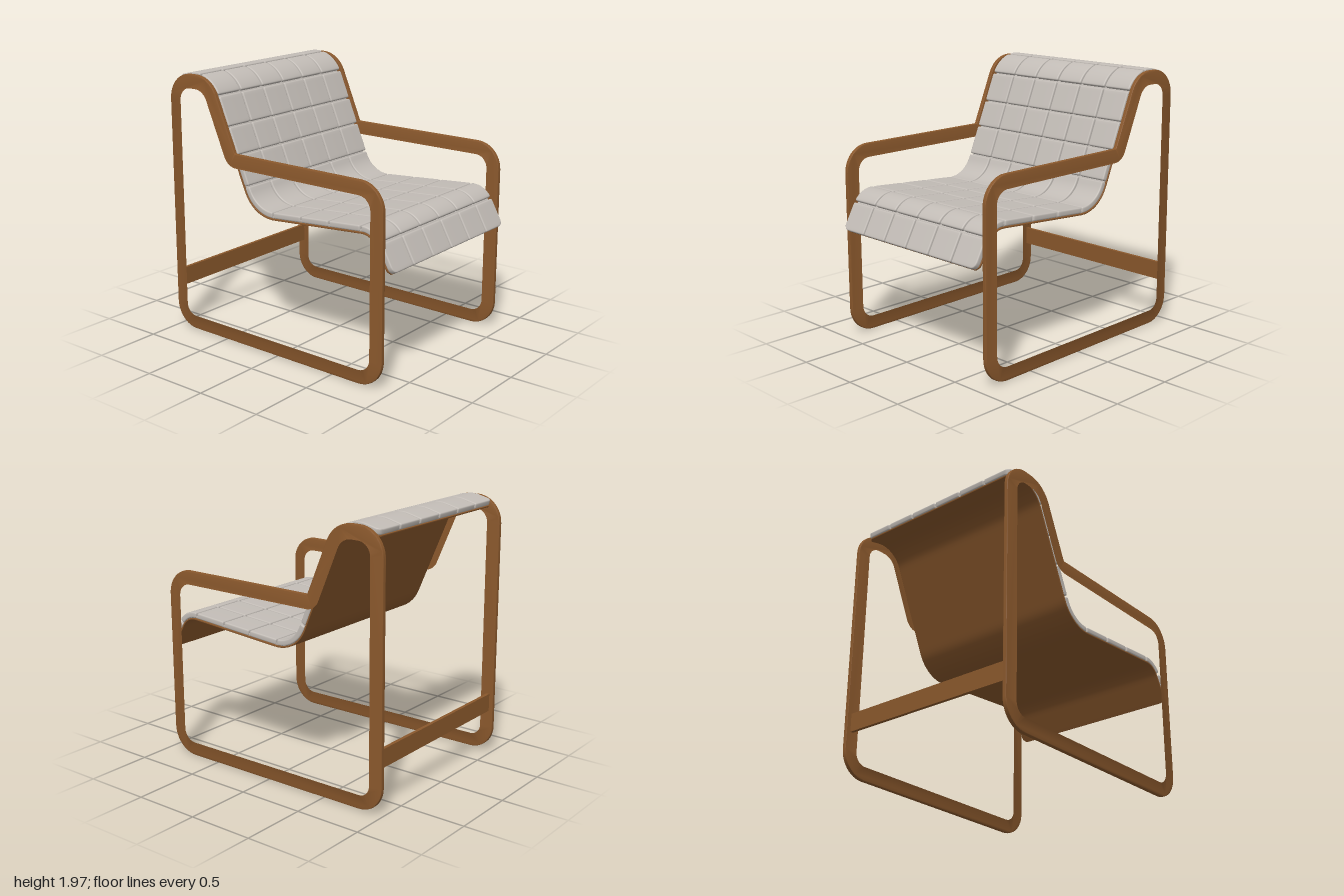
import * as THREE from 'three';
import { mergeVertices, toCreasedNormals } from 'three/addons/utils/BufferGeometryUtils.js';

const wood = new THREE.MeshStandardMaterial({ color: 0x8a582c });
wood.name = 'wood';
const fabric = new THREE.MeshStandardMaterial({ color: 0xc2bcb6 });
fabric.name = 'fabric';

// Polyline of [z, y, radius] corners with rounded bends -> samples { p, n }, n to the right of travel
function roundedPath(corners, closed) {
  const pts = corners.map(([z, y]) => new THREE.Vector2(z, y));
  const count = pts.length, out = [];
  const right = (d) => new THREE.Vector2(d.y, -d.x);
  pts.forEach((c, i) => {
    const d0 = c.clone().sub(pts[(i + count - 1) % count]).normalize();
    const d1 = pts[(i + 1) % count].clone().sub(c).normalize();
    if (!closed && i === 0) return out.push({ p: c, n: right(d1) });
    if (!closed && i === count - 1) return out.push({ p: c, n: right(d0) });
    const r = corners[i][2], turn = Math.atan2(d0.cross(d1), d0.dot(d1)), sign = Math.sign(turn);
    const start = c.clone().addScaledVector(d0, -r * Math.tan(Math.abs(turn) / 2));
    const centre = start.clone().addScaledVector(right(d0), -r * sign);
    for (let k = 0; k <= 12; k++) {
      const n = right(d0).rotateAround(new THREE.Vector2(), turn * k / 12);
      out.push({ p: centre.clone().addScaledVector(n, r * sign), n });
    }
  });
  return out;
}

// Seat line from the front lip to the top of the back
const seatPath = roundedPath([
  [0.945, 0.817], [0.805, 1.07, 0.13], [-0.24, 0.995, 0.27], [-0.648, 1.958, 0.2], [-0.918, 1.892],
], false);
const lengths = [0];
for (let i = 1; i < seatPath.length; i++) {
  lengths.push(lengths[i - 1] + seatPath[i].p.distanceTo(seatPath[i - 1].p));
}
const total = lengths[lengths.length - 1];

function seatAt(s) {
  let i = 1;
  while (i < lengths.length - 1 && lengths[i] < s) i++;
  const t = (s - lengths[i - 1]) / (lengths[i] - lengths[i - 1]), a = seatPath[i - 1], b = seatPath[i];
  return { p: a.p.clone().lerp(b.p, t), n: a.n.clone().lerp(b.n, t).normalize() };
}

// Distance along the seat line at a given z (z falls steadily along it)
function lengthAtZ(z) {
  let i = 1;
  while (i < lengths.length - 1 && seatPath[i].p.x > z) i++;
  const z0 = seatPath[i - 1].p.x, z1 = seatPath[i].p.x;
  return lengths[i - 1] + (lengths[i] - lengths[i - 1]) * (z0 - z) / (z0 - z1);
}

const HALF = 0.69, CORNER = 0.045, EDGE_COLUMN = 0.47;

// Rounded slab bent along the seat line: x range, distance range, height range above the line
function bentSlab(x0, x1, s0, s1, h0, h1, r, nx, ns) {
  const half = [(x1 - x0) / 2, (h1 - h0) / 2, (s1 - s0) / 2];
  const segs = [nx + 4, 5, ns + 4];
  const geo = new THREE.BoxGeometry(1, 1, 1, ...segs);
  geo.deleteAttribute('normal');
  geo.deleteAttribute('uv');
  const pos = geo.attributes.position;
  // Two narrow bands at each edge, even spacing between
  const station = (v, a) => {
    const n = segs[a], i = Math.round((v + 0.5) * n), H = half[a];
    if (i < 2) return -H + r * 0.4 * i;
    if (i > n - 2) return H - r * 0.4 * (n - i);
    return (H - r) * (2 * (i - 2) / (n - 4) - 1);
  };
  for (let i = 0; i < pos.count; i++) {
    const v = new THREE.Vector3(station(pos.getX(i), 0), station(pos.getY(i), 1), station(pos.getZ(i), 2));
    const limit = new THREE.Vector3(half[0] - r, half[1] - r, half[2] - r);
    const core = v.clone().clamp(limit.clone().negate(), limit);
    const d = v.clone().sub(core);
    if (d.lengthSq() > 1e-14) v.copy(core).addScaledVector(d.normalize(), r);
    let x = (x0 + x1) / 2 + v.x;
    const s = (s0 + s1) / 2 - v.z, h = (h0 + h1) / 2 + v.y;
    // Round the four outer corners of the whole seat
    const end = Math.max(0, Math.min(s, total - s));
    if (end < CORNER && Math.abs(x) > EDGE_COLUMN) {
      const edge = HALF - CORNER + Math.sqrt(CORNER ** 2 - (CORNER - end) ** 2);
      x = Math.sign(x) * (EDGE_COLUMN + (Math.abs(x) - EDGE_COLUMN) * (edge - EDGE_COLUMN) / (HALF - EDGE_COLUMN));
    }
    const { p, n } = seatAt(s);
    pos.setXYZ(i, x, p.y + n.y * h, p.x + n.x * h);
  }
  const smooth = mergeVertices(geo, 1e-5);
  smooth.computeVertexNormals();
  return smooth;
}

// Closed side loop: leg, floor runner, back post and armrest in one bent band
function sideFrameGeometry() {
  const loop = roundedPath([
    [0.882, 0.056, 0.15], [-0.95, 0.066, 0.14], [-0.94, 1.92, 0.15],
    [-0.622, 1.92, 0.17], [-0.4, 1.397, 0.062], [0.882, 1.393, 0.15],
  ], true);
  const offset = (w) => loop.map(({ p, n }) => p.clone().addScaledVector(n, w));
  const shape = new THREE.Shape(offset(-0.048));
  shape.holes.push(new THREE.Path(offset(0.048)));
  const bevel = 0.006, depth = 0.032;
  const geo = new THREE.ExtrudeGeometry(shape, {
    depth: depth - 2 * bevel, bevelSize: bevel, bevelThickness: bevel, bevelOffset: -bevel, bevelSegments: 2,
  });
  geo.translate(0, 0, bevel - depth / 2);
  geo.rotateY(-Math.PI / 2);
  return toCreasedNormals(geo, 0.6);
}

export function createModel() {
  const model = new THREE.Group();
  model.name = 'loungeChair';
  const add = (geo, material, name, parent = model) => {
    const mesh = new THREE.Mesh(geo, material);
    mesh.name = name;
    parent.add(mesh);
    return mesh;
  };

  // Side frames
  const frame = sideFrameGeometry();
  add(frame, wood, 'leftFrame').position.x = 0.716;
  add(frame, wood, 'rightFrame').position.x = -0.716;

  // Rear crossbar
  add(new THREE.BoxGeometry(1.41, 0.135, 0.025), wood, 'rearCrossbar').position.set(0, 0.403, -0.952);

  // Bent seat shell and the thin cloth under the pads
  add(bentSlab(-HALF, HALF, 0, total, 0, 0.012, 0.003, 12, 100), wood, 'seatShell');
  add(bentSlab(-0.68, 0.68, 0.008, total - 0.008, 0.011, 0.03, 0.004, 12, 100), fabric, 'padBacking');

  // Quilted pads, six columns by eleven rows
  const pads = new THREE.Group();
  pads.name = 'seatPads';
  model.add(pads);
  const rows = [0.84, 0.715, 0.445, 0.2, -0.055, -0.326, -0.416, -0.498, -0.588, -0.728].map(lengthAtZ);
  const bounds = [0, ...rows, total], gap = 0.005, width = 2 * HALF / 6;
  for (let r = 0; r < bounds.length - 1; r++) {
    const s0 = bounds[r] + (r ? gap : 0), s1 = bounds[r + 1] - (r < bounds.length - 2 ? gap : 0);
    for (let c = 0; c < 6; c++) {
      const x0 = -HALF + c * width + (c ? gap : 0), x1 = -HALF + (c + 1) * width - (c < 5 ? gap : 0);
      add(bentSlab(x0, x1, s0, s1, 0.013, 0.056, 0.012, 2, 10), fabric, 'pad', pads);
    }
  }
  return model;
}
